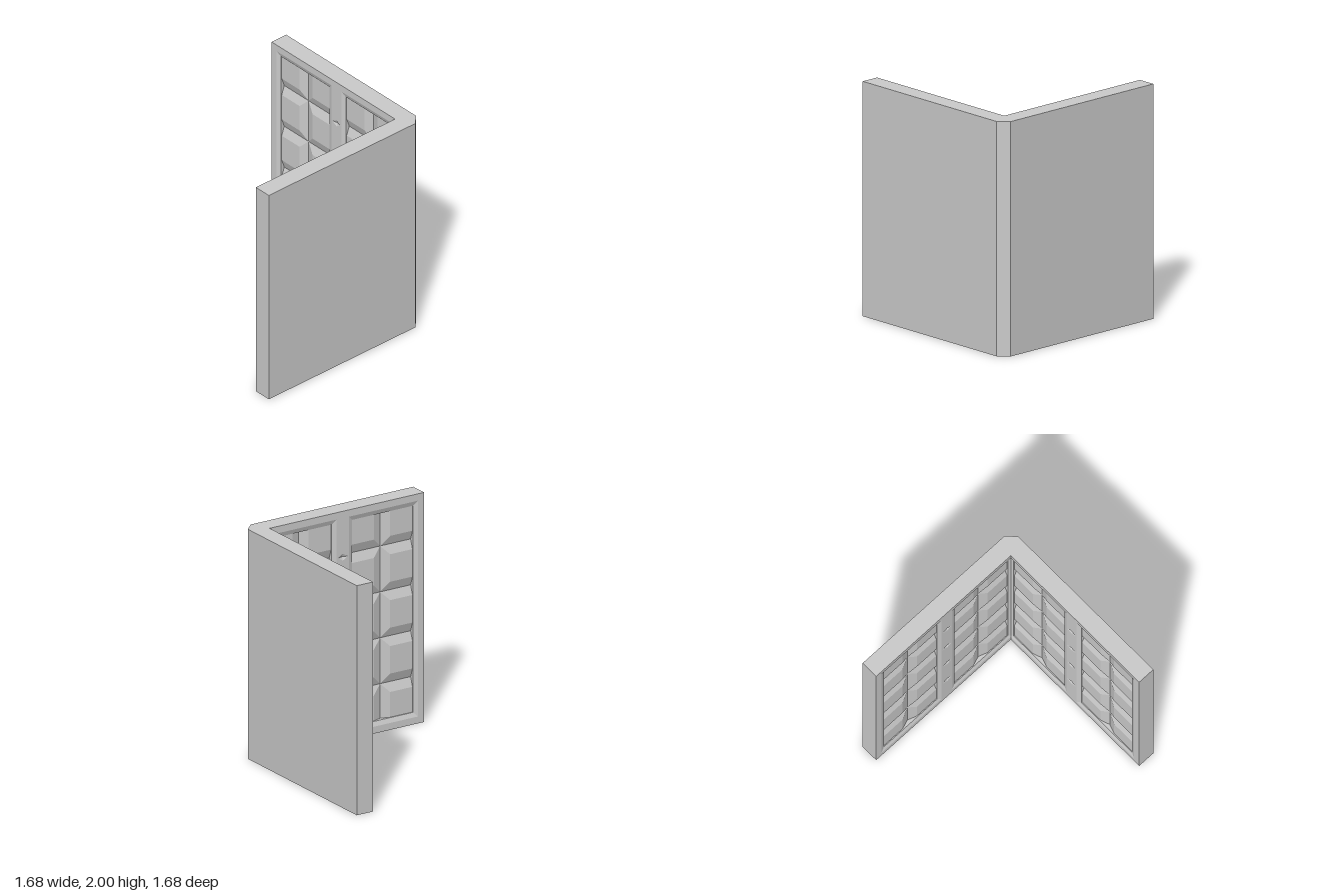
import * as THREE from 'three';

const HEIGHT = 2, OUT = 0.84, IN = 0.68, SKIN = 0.06;
const material = new THREE.MeshStandardMaterial({ color: 0xcccccc, flatShading: true });

const rect = (hw, hh, z) => [[-hw, -hh, z], [hw, -hh, z], [hw, hh, z], [-hw, hh, z]];
const diamond = (hw, hh, z) => [[0, -hh, z], [hw, 0, z], [0, hh, z], [-hw, 0, z]];

// Joins four-cornered rings from the outside in, with an optional flat cap
function loft(rings, cap) {
  const p = [];
  for (let r = 0; r + 1 < rings.length; r++) {
    const a = rings[r], b = rings[r + 1];
    for (let i = 0; i < 4; i++) {
      const j = (i + 1) % 4;
      p.push(...a[i], ...a[j], ...b[j], ...a[i], ...b[j], ...b[i]);
    }
  }
  if (cap) {
    const c = rings[rings.length - 1];
    p.push(...c[0], ...c[1], ...c[2], ...c[0], ...c[2], ...c[3]);
  }
  const g = new THREE.BufferGeometry();
  g.setAttribute('position', new THREE.Float32BufferAttribute(p, 3));
  g.computeVertexNormals();
  return g;
}

function add(parent, name, geometry, x = 0, y = 0, z = 0) {
  const m = new THREE.Mesh(geometry, material);
  m.name = name;
  m.position.set(x, y, z);
  parent.add(m);
  return m;
}

function path(corners, cx, cy, Type = THREE.Path) {
  return new Type(corners.map(([x, y]) => new THREE.Vector2(x + cx, y + cy)));
}

// Inner face of one wall; s is the direction along the wall away from the corner
function innerFace(s) {
  const g = new THREE.Group();
  const panelCentres = [0.32, 1.12], seam = 0.72;

  // Flat frame with two openings and small dents down the middle stile
  const frame = path(rect((1.52 + SKIN) / 2, HEIGHT / 2, 0), s * (1.52 - SKIN) / 2, HEIGHT / 2, THREE.Shape);
  for (const u of panelCentres) frame.holes.push(path(rect(0.34, 0.94, 0), s * u, 1));
  const dent = loft([diamond(0.05, 0.03, 0), diamond(0, 0, -0.012)], false);
  for (let k = 1; k < 5; k++) {
    frame.holes.push(path(diamond(0.05, 0.03, 0), s * seam, k * 0.4));
    add(g, 'stileDent', dent, s * seam, k * 0.4);
  }
  add(g, 'frame', new THREE.ExtrudeGeometry(frame, { depth: SKIN, bevelEnabled: false }), 0, 0, -SKIN);

  // Shallow bevel and step around each panel
  const moulding = loft([rect(0.34, 0.94, 0), rect(0.3, 0.9, -0.014), rect(0.3, 0.9, -0.055)], false);
  for (const u of panelCentres) add(g, 'panelMoulding', moulding, s * u, 1);

  // Grid of bevelled cushions behind the frame
  const cushion = loft([rect(0.2, 0.2, -0.05), rect(0.12, 0.12, -0.022)], true);
  for (let c = 0; c < 4; c++)
    for (let r = 0; r < 5; r++)
      add(g, 'cushion', cushion, s * (0.12 + c * 0.4), 0.2 + r * 0.4);
  return g;
}

export function createModel() {
  const model = new THREE.Group();

  // L-shaped core with a chamfered outer corner, drawn in plan (y = -z)
  const t = IN + SKIN;
  const plan = new THREE.Shape([
    [-OUT, -OUT], [0.76, -OUT], [OUT, -0.76], [OUT, OUT], [t, OUT], [t, -t], [-OUT, -t],
  ].map(([x, y]) => new THREE.Vector2(x, y)));
  const core = new THREE.ExtrudeGeometry(plan, { depth: HEIGHT, bevelEnabled: false });
  core.rotateX(-Math.PI / 2);
  add(model, 'wallCore', core);

  // Panelled inner faces of the front and side walls
  const front = innerFace(1);
  front.name = 'frontWallPanels';
  front.rotation.y = Math.PI;
  const side = innerFace(-1);
  side.name = 'sideWallPanels';
  side.rotation.y = -Math.PI / 2;
  for (const wall of [front, side]) {
    wall.position.set(IN, 0, IN);
    model.add(wall);
  }
  return model;
}
